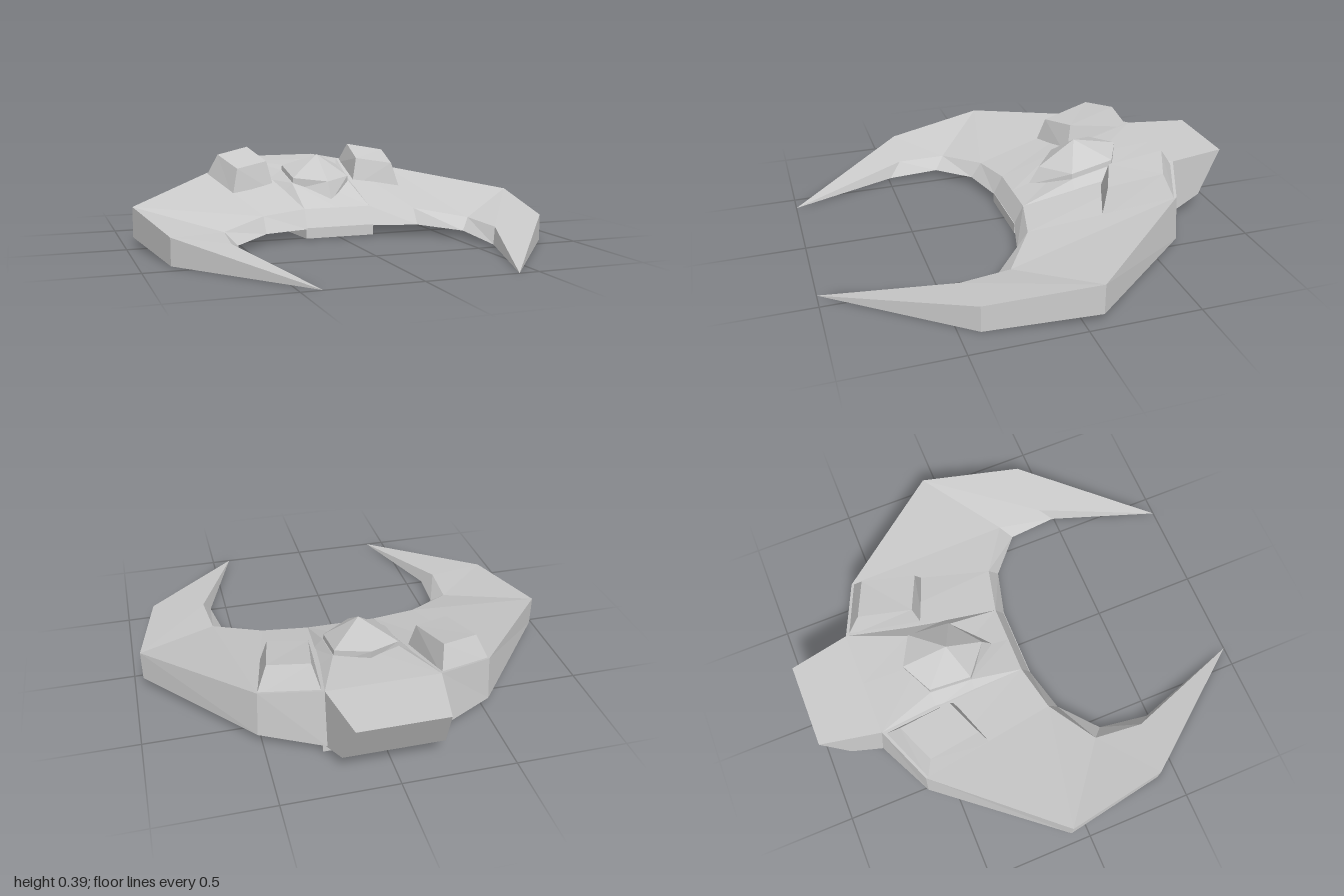
import * as THREE from 'three';

const material = new THREE.MeshStandardMaterial({ color: 0xcccccc, flatShading: true });
const mirror = ([x, y, z]) => [-x, y, z];

// Closed faceted solid through matching loops of points, capped at both ends.
function loft(name, loops) {
  const tris = [];
  const n = loops[0].length;
  for (let i = 0; i < loops.length - 1; i++) {
    for (let j = 0; j < n; j++) {
      const k = (j + 1) % n;
      const [a, b, c, d] = [loops[i][j], loops[i][k], loops[i + 1][k], loops[i + 1][j]];
      tris.push([a, b, c], [a, c, d]);
    }
  }
  const last = loops[loops.length - 1];
  for (let j = 1; j < n - 1; j++) {
    tris.push([loops[0][0], loops[0][j + 1], loops[0][j]], [last[0], last[j], last[j + 1]]);
  }
  // Turn the faces outward by the sign of the enclosed volume.
  const v = tris.map(t => t.map(p => new THREE.Vector3(...p)));
  const volume = v.reduce((s, [a, b, c]) => s + a.dot(b.clone().cross(c)), 0);
  const points = [];
  for (const [a, b, c] of v) {
    const area = b.clone().sub(a).cross(c.clone().sub(a)).length();
    if (area > 1e-7) points.push(...(volume < 0 ? [a, c, b] : [a, b, c]));
  }
  const geometry = new THREE.BufferGeometry().setFromPoints(points);
  geometry.computeVertexNormals();
  const mesh = new THREE.Mesh(geometry, material);
  mesh.name = name;
  return mesh;
}

export function createModel() {
  const model = new THREE.Group();
  model.name = 'crescentShip';

  // Crescent hull: outer top, outer bottom, inner bottom, inner top, from tip to middle.
  const tip = [0.41, 0, 1];
  const wing = [
    [tip, tip, tip, tip],
    [[0.87, 0.12, 0.41], [0.87, 0, 0.41], [0.58, 0.01, 0.49], [0.62, 0.08, 0.43]],
    [[0.96, 0.18, -0.08], [0.96, 0.04, -0.08], [0.55, 0.035, 0.25], [0.6, 0.09, 0.2]],
    [[0.51, 0.26, -0.61], [0.52, 0.05, -0.62], [0.38, 0.05, 0.1], [0.38, 0.125, 0.05]],
    [[0.25, 0.305, -0.72], [0.25, 0.04, -0.75], [0.165, 0.05, 0.045], [0.165, 0.14, 0]],
  ];
  model.add(loft('crescentHull', [...wing, ...wing.map(s => s.map(mirror)).reverse()]));

  // Raised spine: outer edge, shoulder and centre line, from nose to tail.
  const spine = [
    [[0.165, 0.14, 0], [0.165, 0.14, 0], [0, 0.14, 0]],
    [[0.195, 0.19, -0.25], [0.15, 0.235, -0.25], [0, 0.225, -0.25]],
    [[0.22, 0.235, -0.45], [0.15, 0.28, -0.45], [0, 0.285, -0.45]],
    [[0.25, 0.305, -0.72], [0.25, 0.305, -0.72], [0, 0.305, -0.72]],
  ];
  model.add(loft('spine', spine.map(([o, s, c]) => [o, s, c, mirror(s), mirror(o)])));

  // Six-sided canopy rising to a point.
  const hexagon = (front, sideFront, sideBack, back) =>
    [front, sideFront, sideBack, back, mirror(sideBack), mirror(sideFront)];
  model.add(loft('canopy', [
    hexagon([0, 0.16, -0.08], [0.15, 0.2, -0.25], [0.15, 0.24, -0.45], [0, 0.27, -0.52]),
    hexagon([0, 0.25, -0.135], [0.145, 0.26, -0.25], [0.145, 0.305, -0.45], [0, 0.325, -0.525]),
    Array(6).fill([0, 0.37, -0.31]),
  ]));

  // Tail block, undercut at the back.
  const tail = (x1, y1, z1, x2, y2, z2) =>
    [[x1, y1, z1], [-x1, y1, z1], [-x2, y2, z2], [x2, y2, z2]];
  model.add(loft('tail', [
    tail(0.25, 0.305, -0.72, 0.25, 0.03, -0.74),
    tail(0.195, 0.305, -1, 0.22, 0.09, -0.89),
  ]));

  // Belly plate, widening to the rear.
  const plate = y => [[0.17, y, 0.045], [-0.17, y, 0.045], [-0.265, y, -0.74], [0.265, y, -0.74]];
  model.add(loft('bellyPlate', [plate(0.005), plate(0.055)]));

  // Tapered pods on both sides: inner front, outer front, outer back, inner back.
  const pod = [
    [[0.21, 0.18, -0.36], [0.45, 0.17, -0.275], [0.515, 0.24, -0.605], [0.255, 0.28, -0.715]],
    [[0.245, 0.335, -0.39], [0.415, 0.31, -0.315], [0.46, 0.36, -0.56], [0.285, 0.39, -0.635]],
  ];
  model.add(loft('leftPod', pod), loft('rightPod', pod.map(s => s.map(mirror))));

  return model;
}
